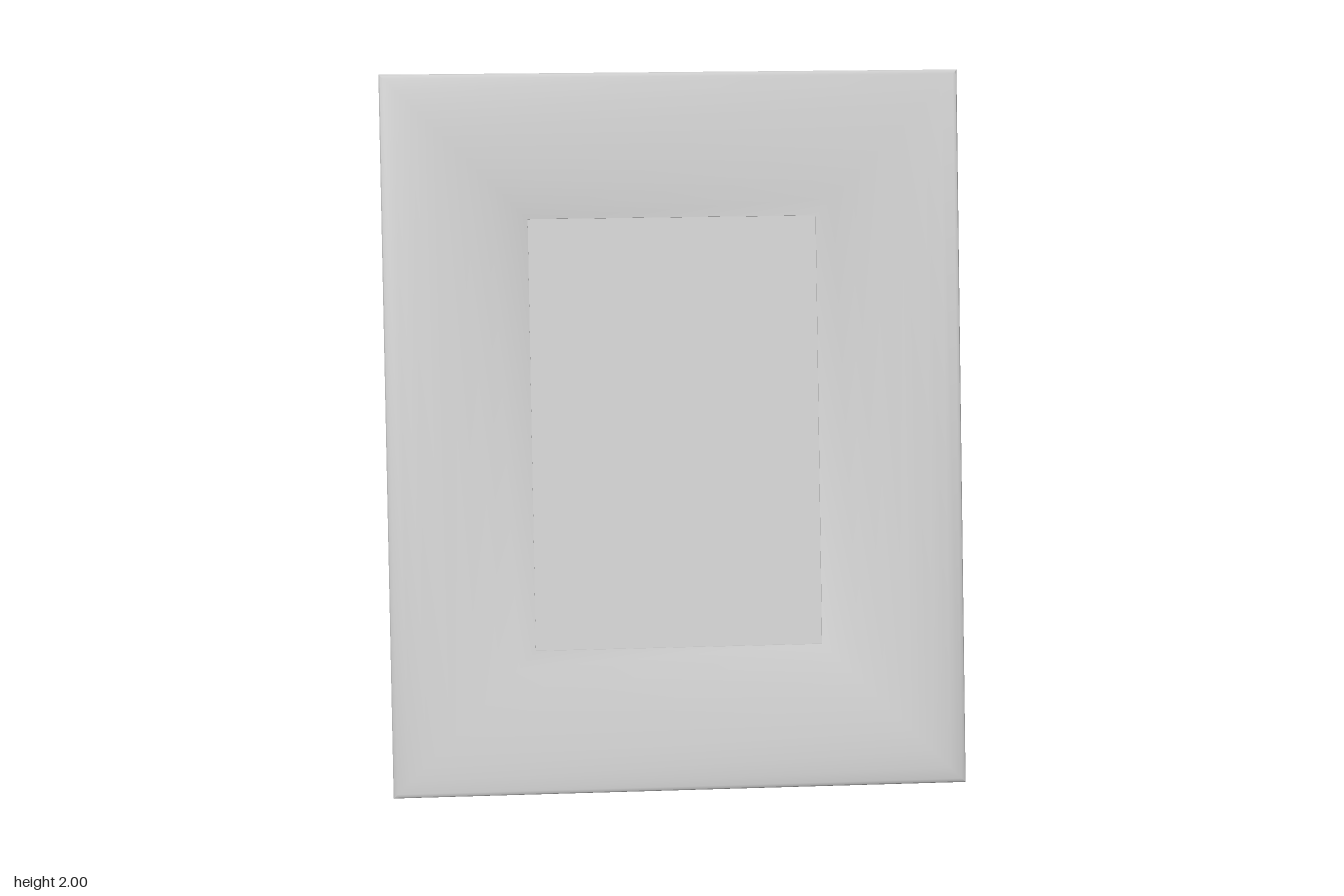
import * as THREE from 'three';
import { toCreasedNormals } from 'three/addons/utils/BufferGeometryUtils.js';

const HALF_W = 0.835, HEIGHT = 2.084, TILT = -0.3096;

// Mitred rectangular moulding: each profile point is [inset from the edge, depth]
function moulding(profile) {
  const pos = [], index = [];
  profile.forEach(([inset, depth], i) => {
    const x = HALF_W - inset, lo = inset, hi = HEIGHT - inset;
    pos.push(-x, lo, depth, x, lo, depth, x, hi, depth, -x, hi, depth);
    if (i === 0) return;
    for (let j = 0; j < 4; j++) {
      const a = (i - 1) * 4 + j, b = (i - 1) * 4 + (j + 1) % 4;
      index.push(a, b, b + 4, a, b + 4, a + 4);
    }
  });
  const geo = new THREE.BufferGeometry();
  geo.setAttribute('position', new THREE.Float32BufferAttribute(pos, 3));
  geo.setIndex(index);
  return toCreasedNormals(geo, 0.75);
}

// Flat plate extruded from 2D points
function plate(points, depth) {
  const shape = new THREE.Shape(points.map(([x, y]) => new THREE.Vector2(x, y)));
  return new THREE.ExtrudeGeometry(shape, { depth, bevelEnabled: false });
}

export function createModel() {
  const model = new THREE.Group();
  const grey = new THREE.MeshStandardMaterial({ color: 0xcccccc });
  grey.name = 'plain grey';

  const add = (parent, name, geo) => {
    const mesh = new THREE.Mesh(geo, grey);
    mesh.name = name;
    parent.add(mesh);
    return mesh;
  };

  // Leaning frame, with its back on the local plane z = 0
  const frame = new THREE.Group();
  frame.name = 'pictureFrame';
  frame.position.z = 0.51;
  frame.rotation.x = TILT;
  model.add(frame);

  add(frame, 'moulding', moulding([
    [0, 0], [0, 0.034], [0.004, 0.043], [0.014, 0.049], [0.05, 0.059], [0.1, 0.067],
    [0.17, 0.069], [0.24, 0.066], [0.31, 0.059], [0.37, 0.048], [0.418, 0.036], [0.418, 0.028],
  ]));
  add(frame, 'picturePanel', new THREE.PlaneGeometry(0.84, 1.256)).position.set(0, HEIGHT / 2 + 0.004, 0.03);
  const back = add(frame, 'backBoard', new THREE.PlaneGeometry(HALF_W * 2, HEIGHT));
  back.position.y = HEIGHT / 2;
  back.rotation.y = Math.PI;

  // Triangular hinge plate on the back
  add(frame, 'hingePlate', plate([[0.01, 1.083], [-0.3, 1.083], [-0.3, 0.8]], 0.014)).position.z = -0.014;

  // Slanted stand: outline from the hinge edge down to the foot
  const outline = [
    [0.01, 1.03, 0.17], [-0.31, 0.76, 0.257], [0.03, 0.012, -0.258], [0.46, 0.015, -0.543], [0.54, 0.505, -0.415],
  ].map((p) => new THREE.Vector3(...p));
  const origin = outline[0];
  const u = outline[1].clone().sub(origin).normalize();
  const n = outline[3].clone().sub(origin).cross(outline[4].clone().sub(origin))
    .add(u.clone().cross(outline[4].clone().sub(origin))).normalize();
  n.addScaledVector(u, -n.dot(u)).normalize();
  const v = n.clone().cross(u);
  const flat = outline.map((p) => {
    const d = p.clone().sub(origin);
    return [d.dot(u), d.dot(v)];
  });
  const standGeo = plate(flat, 0.02).translate(0, 0, -0.01);
  standGeo.applyMatrix4(new THREE.Matrix4().makeBasis(u, v, n).setPosition(origin));
  add(model, 'stand', standGeo);

  return model;
}
